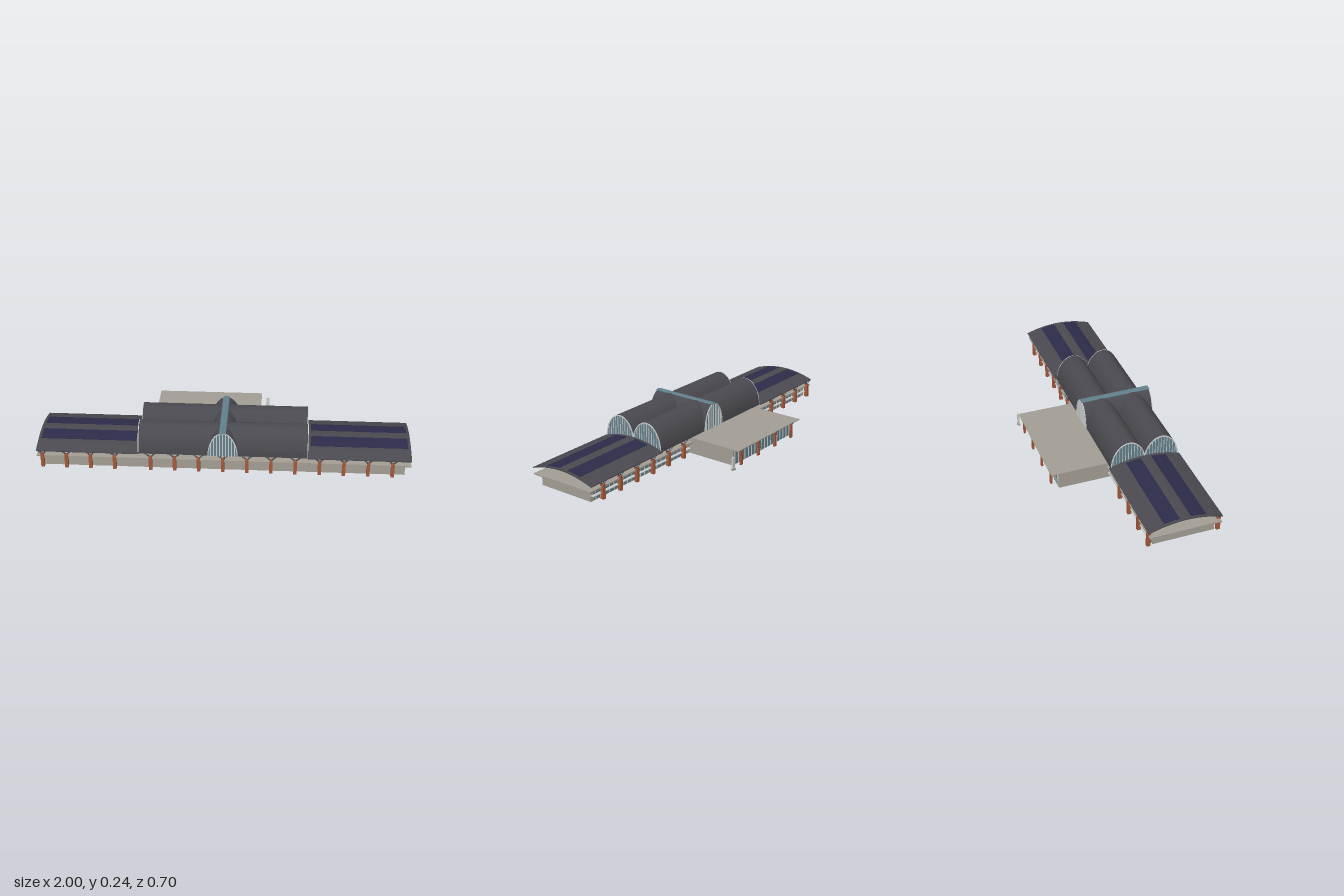
import * as THREE from 'three';
import { toCreasedNormals } from 'three/addons/utils/BufferGeometryUtils.js';

const mat = (name, color, extra = {}) => Object.assign(new THREE.MeshStandardMaterial({ color, ...extra }), { name });

export function createModel() {
  const model = new THREE.Group();
  model.name = 'stationHall';
  const roofMat = mat('roofGrey', 0x4a494f);
  const wallMat = mat('concrete', 0xa39e94);
  const glassMat = mat('glassBlue', 0x62808c, { side: THREE.DoubleSide });
  const frameMat = mat('frameLight', 0xc9cccb);
  const brickMat = mat('brickBrown', 0xa3593c);
  const strutMat = mat('strutDark', 0x4b4b4f);
  const panelMat = mat('solarBlue', 0x2c2c4a);

  const add = (name, geo, material, parent = model) => {
    const m = new THREE.Mesh(geo, material);
    m.name = name;
    parent.add(m);
    return m;
  };
  // Box given by its limits
  const box = (name, x0, x1, y0, y1, z0, z1, material, parent) => {
    const g = new THREE.BoxGeometry(x1 - x0, y1 - y0, z1 - z0);
    g.translate((x0 + x1) / 2, (y0 + y1) / 2, (z0 + z1) / 2);
    return add(name, g, material, parent);
  };
  const group = (name) => {
    const g = new THREE.Group();
    g.name = name;
    model.add(g);
    return g;
  };
  // Extruded band between two curves, running along z and centred
  const band = (outer, inner, length, n = 32) => {
    const pts = [];
    for (let i = 0; i <= n; i++) pts.push(outer(i / n));
    for (let i = n; i >= 0; i--) pts.push(inner(i / n));
    const g = new THREE.ExtrudeGeometry(new THREE.Shape(pts), { depth: length, bevelEnabled: false });
    g.translate(0, 0, -length / 2);
    return toCreasedNormals(g, 0.6);
  };

  const BASE = 0.097, MIDZ = 0.15;
  const arch = (a, b) => (t) =>
    new THREE.Vector2(a * Math.cos(Math.PI * t), BASE + b * Math.sin(Math.PI * t));

  // Ground-floor block, ledges and the open slab above it
  box('mainHall', -0.97, 0.97, 0, 0.064, -0.015, 0.32, wallMat);
  box('canopySlab', -1, 1, 0.063, 0.071, -0.042, 0.345, wallMat);
  for (const [x0, x1] of [[-0.97, -0.4], [0.19, 0.97]]) {
    box('backLedge', x0, x1, 0.031, 0.035, -0.036, -0.01, frameMat);
    box('backWindowBand', x0 + 0.03, x1 - 0.02, 0.006, 0.058, -0.018, -0.014, glassMat);
    for (let x = x0 + 0.03; x < x1 - 0.02; x += 0.034)
      box('backMullion', x, x + 0.004, 0.004, 0.06, -0.02, -0.014, frameMat);
  }

  // Barrel vault with a glazed, mullioned gable at each end, running along z
  const vault = (name, a, b, length, step, bar) => {
    const g = group(name);
    add('vaultShell', band(arch(a, b), arch(a - 0.004, b - 0.004), length), roofMat, g);
    const rim = band(arch(a + 0.0005, b + 0.0005), arch(a - 0.005, b - 0.005), 0.004);
    const pane = new THREE.Shape();
    for (let i = 0; i <= 32; i++) {
      const p = arch(a - 0.003, b - 0.003)(i / 32);
      i ? pane.lineTo(p.x, p.y) : pane.moveTo(p.x, p.y);
    }
    for (const s of [-1, 1]) {
      add('gableRim', rim, frameMat, g).position.z = s * (length / 2 - 0.001);
      add('gableGlass', new THREE.ShapeGeometry(pane), glassMat, g).position.z = s * (length / 2 - 0.004);
      for (let x = -Math.floor(a / step) * step; x < a; x += step) {
        const h = (b - 0.004) * Math.sqrt(Math.max(0, 1 - (x / a) ** 2));
        const z = s * (length / 2 - 0.002);
        if (h > 0.01) box('gableMullion', x - bar / 2, x + bar / 2, BASE, BASE + h, z - 0.002, z + 0.002, frameMat, g);
      }
    }
    return g;
  };
  for (const z of [0.242, 0.058]) {
    const v = vault('longVault', 0.098, 0.144, 0.904, 0.0165, 0.0022);
    v.rotation.y = Math.PI / 2;
    v.position.z = z;
  }
  const cross = vault('crossVault', 0.08, 0.144, 0.396, 0.016, 0.005);
  cross.position.z = MIDZ;

  // Glazed strip along the crossing ridge
  const ridge = (lift) => (t) => {
    const x = 0.018 * (1 - 2 * t);
    return new THREE.Vector2(x, BASE + 0.144 * Math.sqrt(1 - (x / 0.08) ** 2) + lift);
  };
  add('ridgeSkylight', band(ridge(0.003), ridge(-0.001), 0.4, 8), glassMat).position.z = MIDZ;

  // Shallow curved wing roofs with solar panels
  const low = (c0, c1, lift) => (t) => {
    const u = c0 + (c1 - c0) * t;
    return new THREE.Vector2(u, 0.139 - 0.036 * (u / 0.2) ** 2 + lift);
  };
  for (const s of [-1, 1]) {
    const roof = add('wingRoof', band(low(0.2, -0.2, 0), low(0.2, -0.2, -0.005), 0.55), roofMat);
    roof.rotation.y = Math.PI / 2;
    roof.position.set(s * 0.725, 0, MIDZ);
    for (const side of [-1, 1]) {
      const c0 = side > 0 ? 0.113 : -0.03, c1 = side > 0 ? 0.03 : -0.113;
      const p = add('solarPanel', band(low(c0, c1, 0.002), low(c0, c1, -0.001), 0.515, 10), panelMat);
      p.rotation.y = Math.PI / 2;
      p.position.set(s * 0.7275, 0, MIDZ);
    }
  }

  // Brick columns carrying four-armed struts
  const column = (x, z, top, dz = 0.01, w = 0.01) => {
    const g = group('column');
    box('columnShaft', x - 0.009, x + 0.009, 0, 0.08, z - w, z + w, brickMat, g);
    for (const sx of [-1, 1]) for (const sz of [-1, 1]) {
      const path = new THREE.LineCurve3(
        new THREE.Vector3(x + sx * 0.003, 0.078, z + sz * 0.002),
        new THREE.Vector3(x + sx * 0.028, top, z + sz * dz));
      add('strut', new THREE.TubeGeometry(path, 1, 0.002, 5), strutMat, g);
    }
  };
  const xs = [-0.97, -0.84, -0.71, -0.58];
  for (let i = -3; i <= 7; i++) xs.push(i * 0.129);
  for (const x of xs) {
    column(x, 0.339, 0.104);
    if (x < -0.41 || x > 0.2) column(x, -0.038, 0.104);
  }

  // Rear entrance block with glazed back wall and flat roof
  box('entranceBlock', -0.395, 0.18, 0, 0.093, -0.31, -0.01, wallMat);
  box('entranceRoof', -0.4, 0.19, 0.092, 0.097, -0.353, -0.01, wallMat);
  box('entranceGlass', -0.385, 0.17, 0.004, 0.083, -0.313, -0.309, glassMat);
  for (let i = 0; i <= 18; i++) {
    const x = -0.385 + i * 0.0306;
    box('entranceMullion', x - 0.002, x + 0.002, 0.003, 0.084, -0.316, -0.309, frameMat);
  }
  for (let i = 0; i < 4; i++) column(-0.34 + i * 0.16, -0.337, 0.093, 0.008, 0.005);

  // Free-standing pillar beside the entrance
  box('pillar', 0.216, 0.234, 0, 0.072, -0.351, -0.342, frameMat);
  box('pillarBase', 0.213, 0.237, 0, 0.009, -0.354, -0.339, wallMat);

  return model;
}
